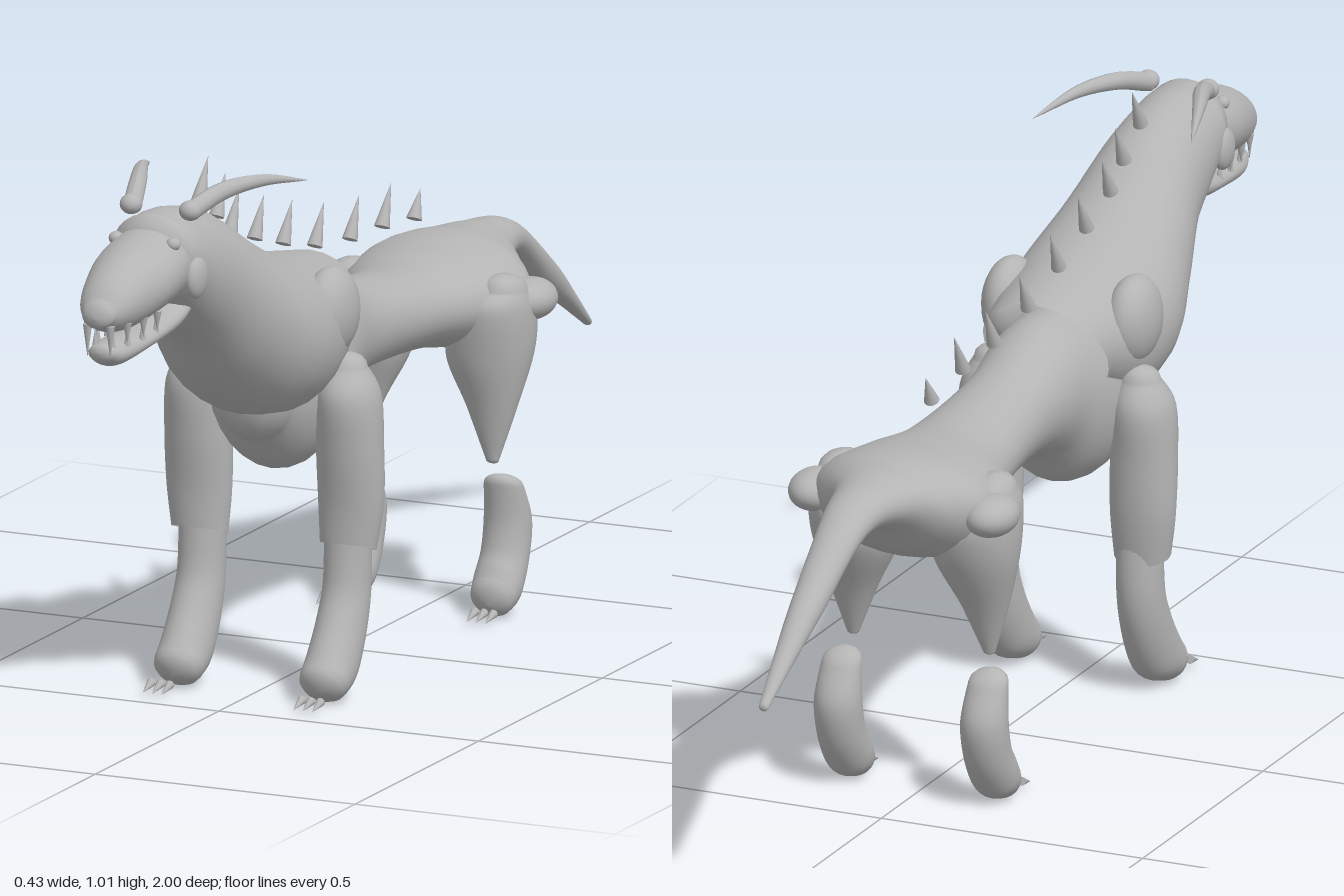
import * as THREE from 'three';

const grey = new THREE.MeshStandardMaterial({ color: 0xb4b4b4, side: THREE.DoubleSide });
grey.name = 'stone grey';

function mesh(name, geometry) {
  const m = new THREE.Mesh(geometry, grey);
  m.name = name;
  return m;
}

const mix = (a, b, c, d, t) =>
  0.5 * (2 * b + (c - a) * t + (2 * a - 5 * b + 4 * c - d) * t * t + (3 * b - a - 3 * c + d) * t * t * t);

// Smooth skin through ellipses: [zA, yA, zB, yB, halfWidth, centreX]
// A and B are the two ends of each ellipse in the side profile.
function loft(name, sections, { side = 1, start = true, end = true, steps = 6, n = 28 } = {}) {
  const s = sections.map((r) => [r[0], r[1], r[2], r[3], r[4], r[5] || 0]);
  const at = (i) => s[Math.max(0, Math.min(s.length - 1, i))];
  let rings = [];
  for (let i = 0; i < s.length - 1; i++)
    for (let k = 0; k < steps; k++)
      rings.push(s[0].map((_, j) => mix(at(i - 1)[j], at(i)[j], at(i + 1)[j], at(i + 2)[j], k / steps)));
  rings.push(s[s.length - 1]);
  // Rounded end: shrinking rings pushed outwards
  const dome = (e, before) => {
    const dz = e[0] + e[2] - before[0] - before[2], dy = e[1] + e[3] - before[1] - before[3];
    const len = Math.hypot(dz, dy), half = Math.hypot(e[0] - e[2], e[1] - e[3]) / 2;
    const bulge = Math.min(half, e[4]) * 0.7;
    return [1, 2, 3, 4].map((k) => {
      const a = (k / 4) * Math.PI / 2, c = Math.max(0.001, Math.cos(a)), b = bulge * Math.sin(a);
      const mz = (e[0] + e[2]) / 2, my = (e[1] + e[3]) / 2, oz = (dz / len) * b, oy = (dy / len) * b;
      return [mz + (e[0] - mz) * c + oz, my + (e[1] - my) * c + oy,
        mz + (e[2] - mz) * c + oz, my + (e[3] - my) * c + oy, e[4] * c, e[5]];
    });
  };
  const head = start ? dome(rings[0], rings[1]).reverse() : [];
  const tail = end ? dome(rings[rings.length - 1], rings[rings.length - 2]) : [];
  rings = [...head, ...rings, ...tail];
  const pos = [], index = [];
  rings.forEach(([zA, yA, zB, yB, w, cx], i) => {
    for (let j = 0; j < n; j++) {
      const a = (j / n) * Math.PI * 2, c = Math.cos(a) / 2;
      pos.push(side * cx + w * Math.sin(a), (yA + yB) / 2 + (yA - yB) * c, (zA + zB) / 2 + (zA - zB) * c);
      if (i < rings.length - 1) {
        const p = i * n + j, q = i * n + (j + 1) % n;
        index.push(p, q, p + n, q, q + n, p + n);
      }
    }
  });
  const g = new THREE.BufferGeometry();
  g.setAttribute('position', new THREE.Float32BufferAttribute(pos, 3));
  g.setIndex(index);
  g.computeVertexNormals();
  return mesh(name, g);
}

function cone(name, from, to, r) {
  const a = new THREE.Vector3(...from), d = new THREE.Vector3(...to).sub(a);
  const m = mesh(name, new THREE.ConeGeometry(r, d.length(), 12));
  m.quaternion.setFromUnitVectors(new THREE.Vector3(0, 1, 0), d.clone().normalize());
  m.position.copy(a).addScaledVector(d, 0.5);
  return m;
}

function ball(name, x, y, z, rx, ry, rz) {
  const g = new THREE.SphereGeometry(1, 24, 16);
  g.scale(rx, ry, rz);
  const m = mesh(name, g);
  m.position.set(x, y, z);
  return m;
}

// Curved tube whose radius shrinks to a tip
function horn(side) {
  const curve = new THREE.CatmullRomCurve3([[0.055, 0.96, 0.735], [0.08, 0.982, 0.66], [0.115, 0.986, 0.57], [0.152, 0.966, 0.46]]
    .map(([x, y, z]) => new THREE.Vector3(side * x, y, z)));
  const g = new THREE.TubeGeometry(curve, 24, 0.017, 12);
  const p = g.attributes.position, v = new THREE.Vector3();
  for (let i = 0; i < p.count; i++) {
    const t = Math.floor(i / 13) / 24;
    v.fromBufferAttribute(p, i).lerp(curve.getPointAt(t), 0.98 * t * t);
    p.setXYZ(i, v.x, v.y, v.z);
  }
  g.computeVertexNormals();
  return mesh('horn', g);
}

export function createModel() {
  const model = new THREE.Group();
  model.name = 'horned beast';

  // Body running into the tail
  model.add(loft('bodyAndTail', [
    [0.36, 0.65, 0.36, 0.46, 0.08], [0.29, 0.71, 0.29, 0.395, 0.12], [0.2, 0.72, 0.2, 0.405, 0.112],
    [0.12, 0.71, 0.12, 0.475, 0.098], [0, 0.67, 0, 0.5, 0.088], [-0.2, 0.643, -0.2, 0.495, 0.11],
    [-0.32, 0.65, -0.32, 0.475, 0.155], [-0.42, 0.66, -0.4, 0.46, 0.17], [-0.49, 0.655, -0.46, 0.49, 0.125],
    [-0.55, 0.65, -0.54, 0.553, 0.072], [-0.66, 0.627, -0.65, 0.562, 0.045], [-0.83, 0.515, -0.79, 0.475, 0.03],
    [-0.91, 0.448, -0.89, 0.42, 0.02], [-0.992, 0.376, -0.988, 0.362, 0.009],
  ]));

  // Neck and chest, a hollow hood open at the back
  model.add(loft('neck', [
    [0.755, 0.958, 0.745, 0.79, 0.085], [0.7, 0.957, 0.69, 0.742, 0.09], [0.6, 0.93, 0.61, 0.68, 0.102],
    [0.48, 0.86, 0.53, 0.6, 0.13], [0.37, 0.806, 0.43, 0.527, 0.158], [0.26, 0.777, 0.33, 0.505, 0.15],
    [0.13, 0.75, 0.24, 0.55, 0.118],
  ], { end: false }));

  // Head
  model.add(loft('skull', [
    [0.985, 0.853, 0.985, 0.802, 0.032], [0.96, 0.88, 0.96, 0.79, 0.048], [0.91, 0.907, 0.91, 0.785, 0.064],
    [0.84, 0.927, 0.84, 0.795, 0.079], [0.77, 0.942, 0.77, 0.8, 0.076], [0.72, 0.94, 0.72, 0.8, 0.065],
  ]));
  model.add(loft('lowerJaw', [
    [0.975, 0.772, 0.975, 0.738, 0.025], [0.94, 0.773, 0.94, 0.726, 0.035], [0.85, 0.775, 0.85, 0.734, 0.042],
    [0.76, 0.795, 0.76, 0.745, 0.05], [0.71, 0.81, 0.71, 0.765, 0.05],
  ]));

  // Spikes along the back: base [z, y]
  [[0.58, 0.94], [0.51, 0.895], [0.455, 0.855], [0.355, 0.82], [0.24, 0.785],
    [0.112, 0.752], [-0.03, 0.732], [-0.16, 0.725], [-0.29, 0.71]].forEach(([z, y], i) => {
    const h = i === 8 ? 0.05 : 0.072;
    model.add(cone('backSpike', [0, y, z], [0, y + h, z - h * 0.52], 0.014));
  });

  for (const side of [-1, 1]) {
    // Face details
    model.add(horn(side));
    model.add(ball('hornBase', side * 0.057, 0.963, 0.735, 0.02, 0.018, 0.02));
    model.add(ball('cheek', side * 0.078, 0.85, 0.755, 0.017, 0.038, 0.032));
    model.add(ball('eye', side * 0.055, 0.917, 0.8, 0.013, 0.012, 0.013));
    [[0.022, 0.985], [0.038, 0.95], [0.045, 0.9], [0.048, 0.85]].forEach(([x, z], i) => {
      model.add(cone('upperTooth', [side * x, 0.808, z], [side * x, i ? 0.772 : 0.748, z], 0.008));
      model.add(cone('lowerTooth', [side * x * 0.75, 0.762, z - 0.02], [side * x * 0.75, 0.8, z - 0.02], 0.006));
    });

    // Front leg
    model.add(ball('shoulder', side * 0.118, 0.69, 0.295, 0.046, 0.08, 0.073));
    model.add(loft('frontUpperLeg', [
      [0.24, 0.59, 0.31, 0.59, 0.036, 0.14], [0.215, 0.54, 0.34, 0.54, 0.055, 0.145], [0.22, 0.45, 0.332, 0.45, 0.06, 0.146],
      [0.225, 0.35, 0.318, 0.35, 0.06, 0.146], [0.238, 0.255, 0.315, 0.28, 0.052, 0.143],
    ], { side, end: false }));
    model.add(loft('frontLowerLeg', [
      [0.235, 0.3, 0.31, 0.3, 0.042, 0.14], [0.23, 0.2, 0.32, 0.205, 0.042, 0.14], [0.25, 0.115, 0.345, 0.15, 0.044, 0.14],
      [0.295, 0.035, 0.375, 0.105, 0.046, 0.14], [0.345, 0.01, 0.393, 0.08, 0.045, 0.14],
    ], { side }));

    // Hind leg, with a gap at the knee
    model.add(ball('hipPlate', side * 0.168, 0.56, -0.405, 0.047, 0.037, 0.06));
    model.add(loft('hindThigh', [
      [-0.4, 0.585, -0.3, 0.59, 0.04, 0.145], [-0.44, 0.54, -0.27, 0.56, 0.065, 0.13], [-0.43, 0.47, -0.28, 0.47, 0.078, 0.115],
      [-0.375, 0.365, -0.305, 0.38, 0.045, 0.125], [-0.342, 0.28, -0.325, 0.285, 0.012, 0.13],
    ], { side }));
    model.add(loft('hindLowerLeg', [
      [-0.39, 0.228, -0.328, 0.24, 0.036, 0.14], [-0.418, 0.165, -0.333, 0.175, 0.042, 0.14], [-0.402, 0.09, -0.325, 0.125, 0.043, 0.14],
      [-0.36, 0.025, -0.31, 0.098, 0.045, 0.14], [-0.33, 0.01, -0.3, 0.08, 0.042, 0.14],
    ], { side }));

    // Claws set ahead of the paws
    for (const z of [0.43, -0.27])
      for (const dx of [-0.018, 0, 0.018])
        model.add(cone('claw', [side * (0.145 + dx), 0.025, z], [side * (0.145 + dx), 0.014, z + 0.036], 0.008));
  }
  return model;
}
